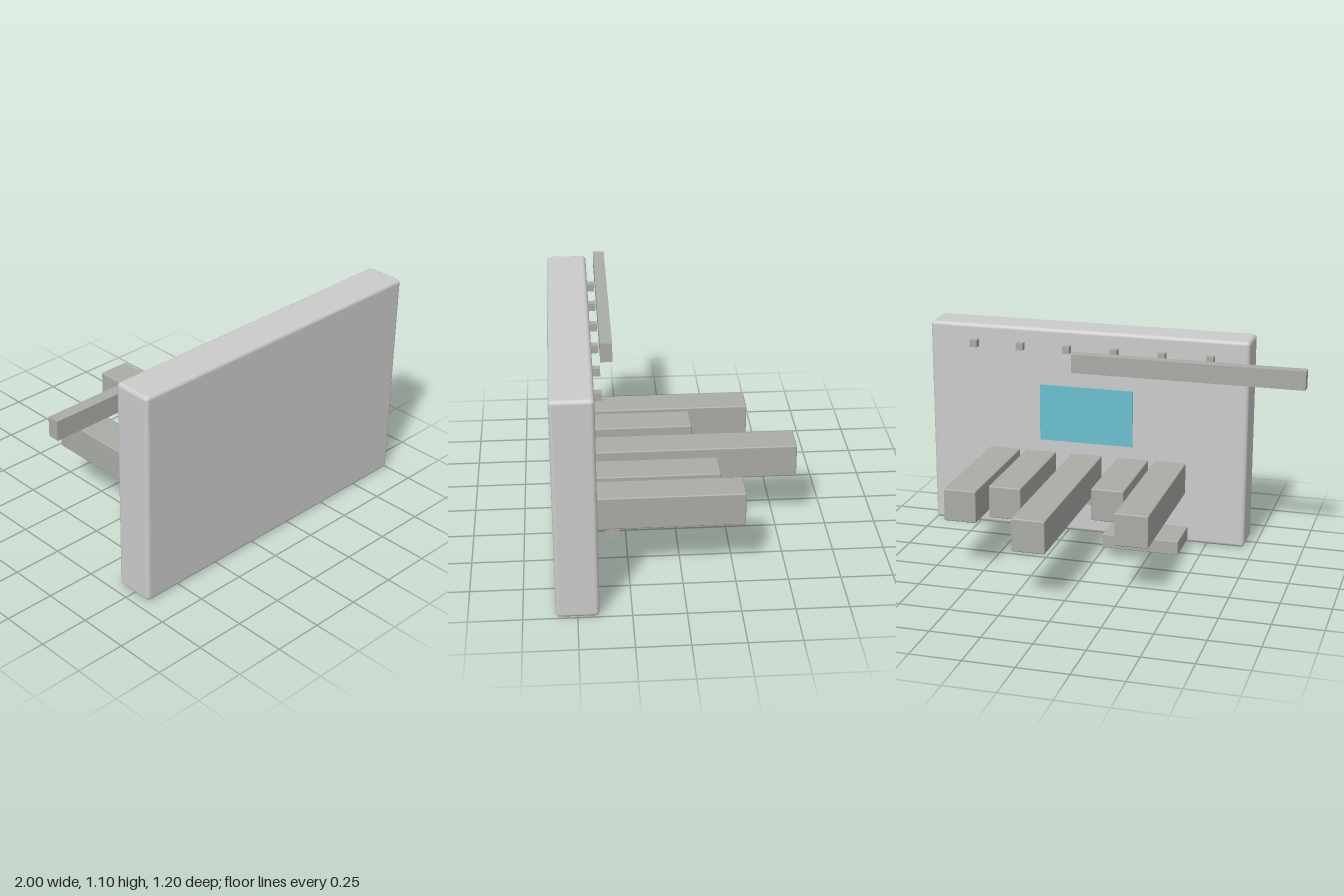
import * as THREE from 'three';
import { RoundedBoxGeometry } from 'three/addons/geometries/RoundedBoxGeometry.js';

const panelMat = new THREE.MeshStandardMaterial({ color: 0xcccccc });
const fittingMat = new THREE.MeshStandardMaterial({ color: 0xaaaca6 });
const screenMat = new THREE.MeshStandardMaterial({ color: 0x6cc0d0 });

// Box from its [min, max] extents, with an optional edge radius
function block(name, [x0, x1], [y0, y1], [z0, z1], material, radius = 0) {
  const size = [x1 - x0, y1 - y0, z1 - z0];
  const geometry = radius
    ? new RoundedBoxGeometry(...size, 3, radius)
    : new THREE.BoxGeometry(...size);
  const mesh = new THREE.Mesh(geometry, material);
  mesh.name = name;
  mesh.position.set((x0 + x1) / 2, (y0 + y1) / 2, (z0 + z1) / 2);
  return mesh;
}

export function createModel() {
  const model = new THREE.Group();
  model.name = 'wallPanel';

  // Upright slab with softened edges
  model.add(block('panel', [-0.7, 1], [0, 1.1], [0.4, 0.6], panelMat, 0.02));

  // Thin coloured plate on the back
  model.add(block('screen', [-0.1, 0.4], [0.5, 0.8], [0.393, 0.405], screenMat));

  // Five beams of differing length: [centre x, end z]
  const beams = new THREE.Group();
  beams.name = 'beams';
  for (const [x, end] of [[-0.3, -0.4], [-0.1, -0.1], [0.15, -0.6], [0.4, -0.2], [0.6, -0.3]]) {
    beams.add(block('beam', [x - 0.083, x + 0.083], [0.268, 0.434], [end, 0.41], fittingMat, 0.006));
  }
  model.add(beams);

  // Row of small pegs near the top
  const pegs = new THREE.Group();
  pegs.name = 'pegs';
  for (let i = 0; i < 6; i++) {
    const x = -0.505 + i * 0.2515;
    pegs.add(block('peg', [x - 0.019, x + 0.019], [0.983, 1.021], [0.363, 0.403], fittingMat));
  }
  model.add(pegs);

  // Long rail past the panel edge, cross rail under the beams, low foot block
  model.add(block('upperRail', [-1, 0.2], [0.903, 1], [0.297, 0.355], fittingMat));
  model.add(block('lowerRail', [-0.25, 0.65], [0.198, 0.27], [0.293, 0.36], fittingMat));
  model.add(block('footBlock', [-0.4, 0], [0.015, 0.088], [0.176, 0.405], fittingMat, 0.004));

  return model;
}
